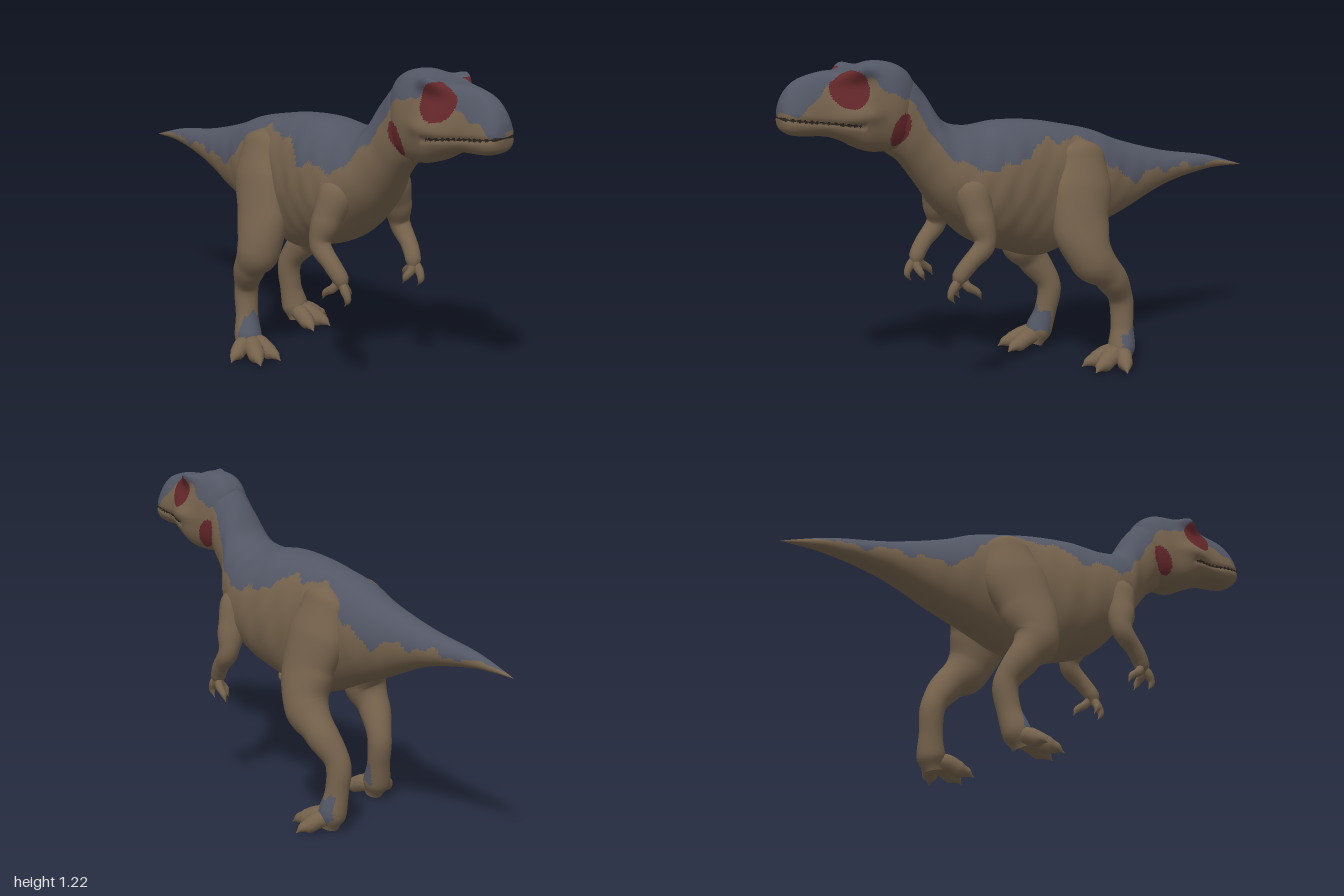
import * as THREE from 'three';
import { mergeVertices } from 'three/addons/utils/BufferGeometryUtils.js';

const mat = (name, color) => {
  const m = new THREE.MeshStandardMaterial({ color });
  m.name = name;
  return m;
};

// bell curve around a centre
const bell = (v, centre, width) => Math.exp(-(((v - centre) / width) ** 2));

// linear lookup in a list of [key, value], keys falling
function lookup(table, k) {
  for (let i = 1; i < table.length; i++) {
    const [k0, v0] = table[i - 1], [k1, v1] = table[i];
    if (k >= k1) return v0 + (v1 - v0) * Math.min(1, (k0 - k) / (k0 - k1));
  }
  return table[table.length - 1][1];
}

// smooth interpolation of whole rows, n steps per span
function smoothRows(rows, n) {
  const out = [], at = i => rows[Math.max(0, Math.min(rows.length - 1, i))];
  for (let i = 0; i < rows.length - 1; i++) {
    for (let s = 0; s < n + (i === rows.length - 2 ? 1 : 0); s++) {
      const t = s / n;
      out.push(rows[i].map((b, c) => {
        const a = at(i - 1)[c], d = at(i + 1)[c], e = at(i + 2)[c];
        return b + 0.5 * t * (d - a + t * (2 * a - 5 * b + 4 * d - e + t * (3 * (b - d) + e - a)));
      }));
    }
  }
  return out;
}

// skin over rows of [z, yTop, yBottom, halfWidthTop, halfWidthBottom]; adjust gives the final [x, y]
function loft(rows, n, sides, power, adjust) {
  const rings = smoothRows(rows, n), pos = [], index = [];
  for (const [z, top, bottom, wTop, wBottom] of rings) {
    for (let j = 0; j < sides; j++) {
      const a = (j / sides) * Math.PI * 2, c = Math.cos(a), s = Math.sin(a);
      const y = (top + bottom) / 2 + ((top - bottom) / 2) * s;
      const w = wBottom + (wTop - wBottom) * (s + 1) / 2;
      pos.push(...adjust(Math.sign(c) * Math.abs(c) ** power * w, y, z), z);
    }
  }
  for (let i = 0; i < rings.length - 1; i++) {
    for (let j = 0; j < sides; j++) {
      const k = (j + 1) % sides, a = i * sides + j, b = i * sides + k;
      index.push(a, b, a + sides, b, b + sides, a + sides);
    }
  }
  const g = new THREE.BufferGeometry();
  g.setAttribute('position', new THREE.Float32BufferAttribute(pos, 3));
  g.setIndex(index);
  g.computeVertexNormals();
  return g;
}

// tapering limb through points of [x, y, z, radius, sideways squash]
function limb(points, steps, sides) {
  const curve = new THREE.CatmullRomCurve3(points.map(p => new THREE.Vector3(p[0], p[1], p[2])));
  let g = new THREE.TubeGeometry(curve, steps, 1, sides);
  const pos = g.attributes.position, v = new THREE.Vector3();
  for (let i = 0; i <= steps; i++) {
    const u = i / steps, c = curve.getPointAt(u);
    const t = curve.getUtoTmapping(u) * (points.length - 1);
    const k = Math.min(points.length - 2, Math.floor(t)), f = t - k, e = f * f * (3 - 2 * f);
    const mix = (n, d) => (points[k][n] ?? d) * (1 - e) + (points[k + 1][n] ?? d) * e;
    const r = mix(3, 0), squash = mix(4, 1);
    for (let j = 0; j <= sides; j++) {
      const q = i * (sides + 1) + j;
      v.fromBufferAttribute(pos, q).sub(c).multiplyScalar(r);
      pos.setXYZ(q, c.x + v.x * squash, Math.max(0.004, c.y + v.y), c.z + v.z);
    }
  }
  g.deleteAttribute('uv');
  g.deleteAttribute('normal');
  g = mergeVertices(g, 1e-5);
  g.computeVertexNormals();
  return g;
}

// sort faces into material groups by a rule on their centre
function paint(g, count, rule) {
  const p = g.attributes.position, id = g.index.array;
  const buckets = Array.from({ length: count }, () => []);
  for (let i = 0; i < id.length; i += 3) {
    const mid = f => (p[f](id[i]) + p[f](id[i + 1]) + p[f](id[i + 2])) / 3;
    buckets[rule(mid('getX'), mid('getY'), mid('getZ'))].push(id[i], id[i + 1], id[i + 2]);
  }
  g.setIndex(buckets.flat());
  let start = 0;
  buckets.forEach((b, m) => { g.addGroup(start, b.length, m); start += b.length; });
  return g;
}

export function createModel() {
  const group = new THREE.Group();
  const brown = mat('brown hide', 0x75624c), slate = mat('slate back', 0x535765);
  const red = mat('red patch', 0x64272a), dark = mat('dark mouth', 0x2b241f);
  const skins = [brown, slate, red, dark];
  const add = (name, geo, material, parent = group) => {
    const m = new THREE.Mesh(geo, material);
    m.name = name;
    parent.add(m);
  };

  // lower edge of the slate back, from nose to tail
  const edge = [[1, 1.06], [0.9, 1.09], [0.85, 1.13], [0.8, 1.18], [0.7, 1.165], [0.62, 1.13], [0.55, 1.09],
    [0.5, 1.02], [0.45, 0.94], [0.38, 0.85], [0.3, 0.83], [0.15, 0.83], [0.1, 0.87], [0, 0.9], [-0.12, 0.9],
    [-0.2, 0.865], [-0.3, 0.76], [-0.4, 0.71], [-0.5, 0.735], [-0.6, 0.735], [-0.78, 0.73], [-0.86, 0.735],
    [-0.95, 0.716], [-1, 0.71]];
  const mouthY = z => 1.05 - (1 - z) * 0.14;
  const inside = (y, z, cy, cz, ry, rz) => ((y - cy) / ry) ** 2 + ((z - cz) / rz) ** 2 < 1;
  const hide = (x, y, z) => {
    if (inside(y, z + (y - 0.985) * 0.3, 0.985, 0.582, 0.058, 0.036)) return 2;
    const rag = z < -0.8 ? 0 : 0.012 * Math.sin(z * 37 + Math.sign(x)) + 0.007 * Math.sin(z * 83 + x * 20);
    return y > lookup(edge, z) + rag ? 1 : 0;
  };
  const headHide = (x, y, z) => {
    if (z > 0.74 && Math.abs(y - mouthY(z)) < 0.004 + 0.002 * Math.sin(z * 300)) return 3;
    if (Math.abs(x) > 0.052 && inside(y, z, 1.14, 0.765, 0.066, 0.068)) return 2;
    return hide(x, y, z);
  };

  // body, neck and tail in one skin
  const body = loft([
    [-1, 0.7, 0.7, 0, 0], [-0.82, 0.755, 0.7, 0.03, 0.034], [-0.6, 0.795, 0.66, 0.064, 0.072],
    [-0.39, 0.855, 0.575, 0.102, 0.108], [-0.257, 0.908, 0.525, 0.135, 0.128], [-0.12, 0.942, 0.468, 0.155, 0.142],
    [0, 0.965, 0.443, 0.168, 0.155], [0.144, 0.975, 0.485, 0.185, 0.185], [0.28, 0.965, 0.54, 0.185, 0.2],
    [0.39, 1.0, 0.65, 0.13, 0.18], [0.465, 1.11, 0.745, 0.092, 0.12], [0.545, 1.19, 0.85, 0.088, 0.1],
    [0.62, 1.2, 0.92, 0.07, 0.07], [0.65, 1.06, 1.06, 0, 0],
  ], 14, 72, 0.9, (x, y, z) => [x * (1 + 0.014 * Math.sin(z * 60 + y * 14) * Math.sin(y * 23)), y]);
  add('body', paint(body, 4, hide), skins);

  // head with raised brow crests, hollow eye sockets, swelling cheeks and a grooved mouth line
  const head = loft([
    [0.49, 1.07, 1.07, 0, 0], [0.51, 1.165, 0.96, 0.06, 0.06], [0.57, 1.212, 0.912, 0.09, 0.105],
    [0.65, 1.224, 0.905, 0.09, 0.125], [0.71, 1.207, 0.918, 0.09, 0.135], [0.77, 1.2, 0.95, 0.076, 0.128],
    [0.84, 1.198, 0.975, 0.054, 0.104], [0.92, 1.178, 0.982, 0.05, 0.094], [0.965, 1.145, 0.99, 0.044, 0.08],
    [0.99, 1.1, 1.01, 0.032, 0.055], [0.998, 1.05, 1.05, 0, 0],
  ], 12, 128, 0.66, (x, y, z) => {
    const cheek = 0.13 * bell(y, 1.05, 0.03) * bell(z, 0.73, 0.07);
    const socket = 0.08 * bell(y, 1.14, 0.03) * bell(z, 0.765, 0.05);
    const crest = bell(y, 1.2, 0.028) * bell(z, 0.735, 0.055);
    const groove = z > 0.72 ? 0.07 * bell(y, mouthY(z), 0.01) : 0;
    const wide = x * (1 + cheek - socket - groove + 0.95 * crest);
    return [wide, y + 0.025 * crest * bell(Math.abs(wide), 0.095, 0.03)];
  });
  add('head', paint(head, 4, headHide), skins);

  for (const s of [1, -1]) {
    const side = s > 0 ? 'left' : 'right';

    // arm with three clawed fingers
    const arm = new THREE.Group();
    arm.name = side + 'Arm';
    group.add(arm);
    add('armLimb', limb([[s * 0.09, 0.83, 0.32, 0.02], [s * 0.132, 0.745, 0.325, 0.07], [s * 0.172, 0.65, 0.315, 0.055],
      [s * 0.196, 0.565, 0.307, 0.039], [s * 0.19, 0.5, 0.365, 0.032], [s * 0.178, 0.45, 0.4, 0.03],
      [s * 0.17, 0.41, 0.405, 0.012]], 36, 16), brown, arm);
    for (const [x, y, z] of [[0.18, 0.355, 0.435], [0.142, 0.36, 0.395], [0.198, 0.36, 0.335]]) {
      add('finger', limb([[s * 0.178, 0.455, 0.397, 0.014], [s * (0.092 + x / 2), 0.415, (z + 0.42) / 2, 0.017],
        [s * x, y + 0.03, z + 0.006, 0.013], [s * x, y, z - 0.01, 0.001]], 14, 8), brown, arm);
    }

    // leg; the right one strides ahead of the left
    const leg = new THREE.Group();
    leg.name = side + 'Leg';
    group.add(leg);
    const zs = s > 0 ? [-0.16, -0.155, -0.14, -0.125, -0.155, -0.235, -0.305, -0.308, -0.298, -0.285]
      : [-0.15, -0.14, -0.118, -0.08, -0.065, -0.115, -0.175, -0.165, -0.14, -0.12];
    const shape = [[0.06, 0.885, 0.03, 0.7], [0.094, 0.82, 0.105, 0.6], [0.122, 0.7, 0.131, 0.63],
      [0.155, 0.57, 0.114, 0.7], [0.185, 0.45, 0.087, 0.92], [0.187, 0.37, 0.062], [0.162, 0.265, 0.047],
      [0.168, 0.16, 0.044], [0.182, 0.075, 0.053], [0.185, 0.02, 0.035]];
    const limbGeo = limb(shape.map(([x, y, r, q], i) => [s * x, y, zs[i], r, q]), 80, 32);
    const legHide = (x, y, z) => {
      const rag = 0.012 * Math.sin(x * 130 + z * 60);
      if (s > 0) return y < 0.145 + rag && y > 0.05 + rag && x > 0.19 && z < -0.275 && z > -0.34 ? 1 : 0;
      return y < 0.17 + rag && y > 0.08 + rag && z > (x > -0.175 ? -0.165 : -0.138) ? 1 : 0;
    };
    add('legLimb', paint(limbGeo, 2, legHide), [brown, slate], leg);

    // three spread toes
    const fz = zs[8];
    for (const [dx, dz, r] of [[0.128, 0.055, 0.028], [0.062, 0.155, 0.032], [-0.03, 0.16, 0.03]]) {
      const at = (f, y, rad) => [s * (0.18 + dx * f), y, fz + dz * f, rad];
      add('toe', limb([at(0, 0.055, r), at(0.35, 0.055, r * 1.15), at(0.65, 0.036, r * 1.05), at(0.82, 0.03, r * 0.65),
        at(1, 0.012, 0.002)], 20, 12), brown, leg);
    }
  }
  return group;
}
